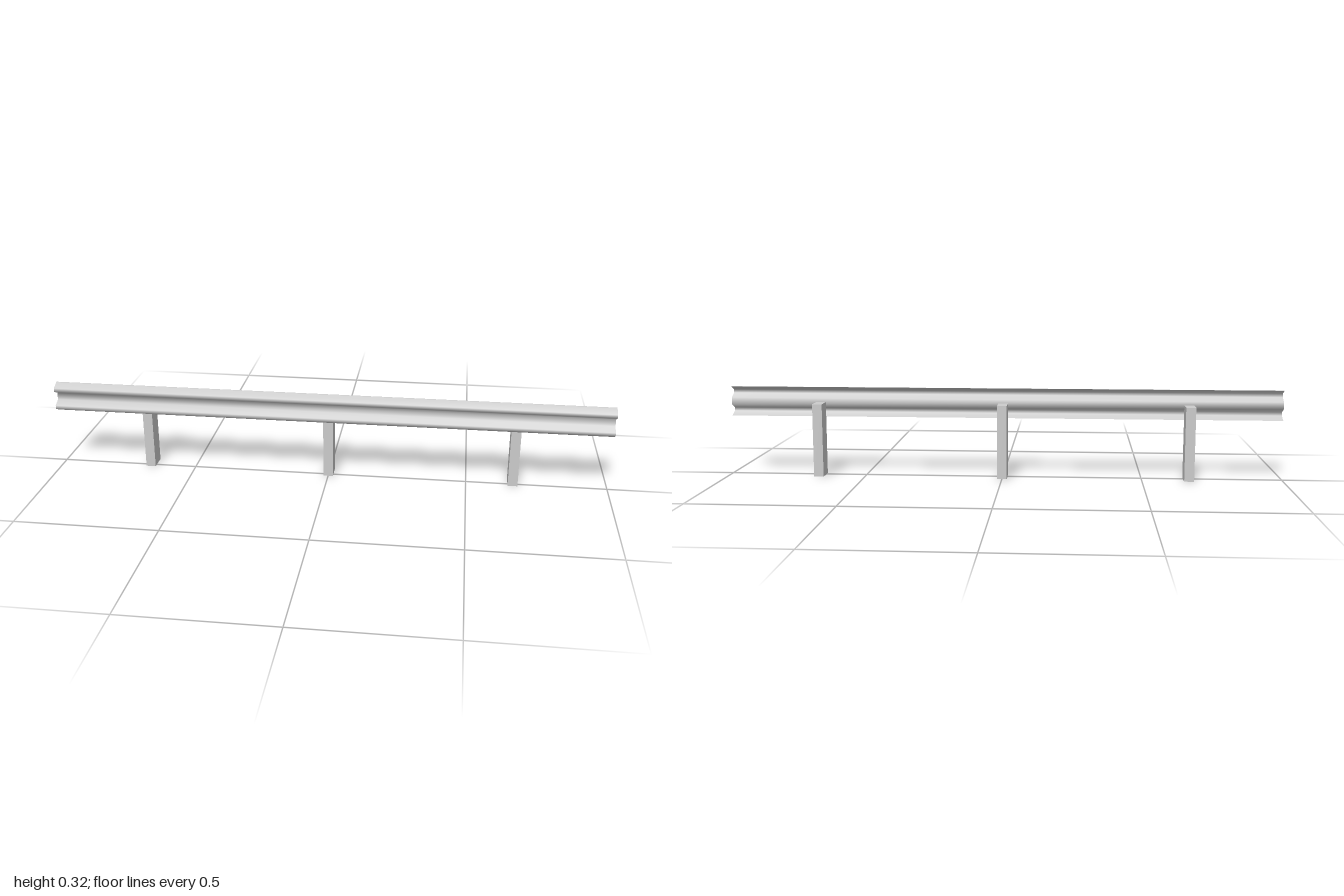
import * as THREE from 'three';
import { mergeGeometries } from 'three/addons/utils/BufferGeometryUtils.js';

const LENGTH = 2;
const THICK = 0.004;

// Front face of the W-shaped rail, top to bottom, as [z, y]
const PROFILE = [
  [0.02, 0.32], [0.049, 0.306], [0.049, 0.293], [0.022, 0.279],
  [0.022, 0.253], [0.049, 0.239], [0.049, 0.226], [0.02, 0.212],
];

// Bends a plane, row by row, along the rail profile
function bentStrip(width, turn, z) {
  const geo = new THREE.PlaneGeometry(width, 1, 1, PROFILE.length - 1);
  geo.rotateY(turn).translate(0, 0, z);
  const pos = geo.attributes.position;
  for (let i = 0; i < pos.count; i++) {
    const [pz, py] = PROFILE[Math.floor(i / 2)];
    pos.setY(i, py);
    pos.setZ(i, pos.getZ(i) + pz);
  }
  geo.computeVertexNormals();
  return geo;
}

// Thin long edge along the top or bottom of the rail
function rim([z, y], turn) {
  return new THREE.PlaneGeometry(LENGTH, THICK).rotateX(turn).translate(0, y, z - THICK / 2);
}

export function createModel() {
  const model = new THREE.Group();
  model.name = 'guardRail';
  const material = new THREE.MeshStandardMaterial({ color: 0xcccccc });

  // Corrugated rail: front and back skins, end caps and rims
  const q = Math.PI / 2;
  const rail = new THREE.Mesh(mergeGeometries([
    bentStrip(LENGTH, 0, 0),
    bentStrip(LENGTH, Math.PI, -THICK),
    bentStrip(THICK, q, -THICK / 2).translate(LENGTH / 2, 0, 0),
    bentStrip(THICK, -q, -THICK / 2).translate(-LENGTH / 2, 0, 0),
    rim(PROFILE[0], -q),
    rim(PROFILE[PROFILE.length - 1], q),
  ]), material);
  rail.name = 'rail';
  model.add(rail);

  // Three posts behind the rail
  const postGeo = new THREE.BoxGeometry(0.035, 0.265, 0.065);
  ['rightPost', 'middlePost', 'leftPost'].forEach((name, i) => {
    const post = new THREE.Mesh(postGeo, material);
    post.name = name;
    post.position.set((i - 1) * 0.667, 0.1325, -0.0165);
    model.add(post);
  });

  return model;
}
